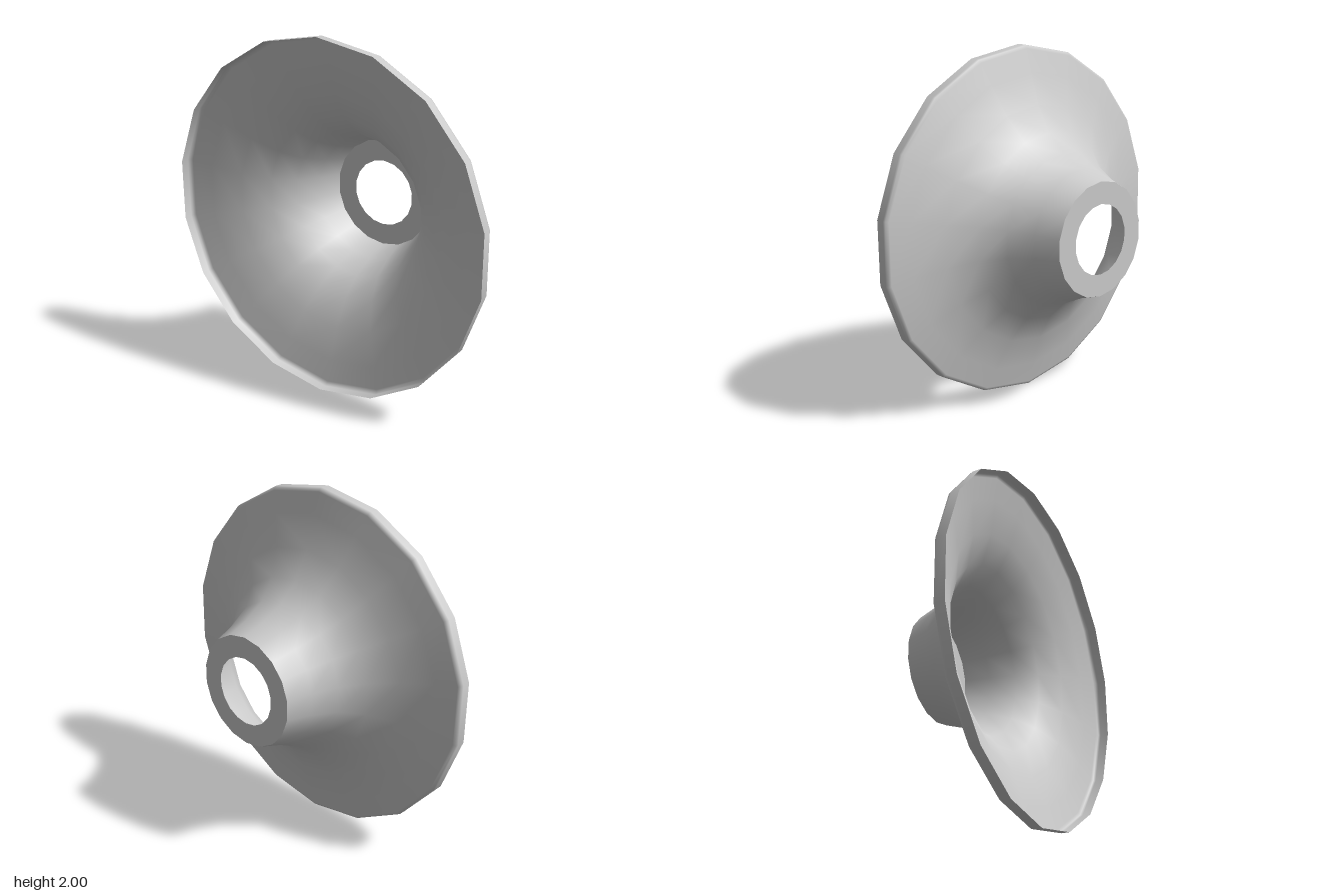
import * as THREE from 'three';

const SIDES = 18;

export function createModel() {
  const group = new THREE.Group();
  group.name = 'flaredHorn';
  const material = new THREE.MeshStandardMaterial({ color: 0xcccccc, side: THREE.DoubleSide });

  // Turns a profile of [radius, x] points around the x axis, with a corner at the top
  function turned(name, profile) {
    const points = profile.map(([r, x]) => new THREE.Vector2(r, x));
    const geometry = new THREE.LatheGeometry(points, SIDES, Math.PI / 2);
    geometry.rotateZ(-Math.PI / 2);
    geometry.translate(0, 1, 0);
    const mesh = new THREE.Mesh(geometry, material);
    mesh.name = name;
    group.add(mesh);
  }

  // Thin open shell: straight lip, rounded shoulder, then a concave sweep to the neck
  turned('flare', [
    [1.0, -0.316], [1.0, -0.268], [0.996, -0.254], [0.98, -0.245],
    [0.86, -0.215], [0.68, -0.157], [0.53, -0.072], [0.427, 0.038],
    [0.362, 0.175], [0.318, 0.314],
  ]);

  // Flat ring closing the neck around the hole
  turned('neckRing', [[0.318, 0.314], [0.195, 0.314]]);

  return group;
}
